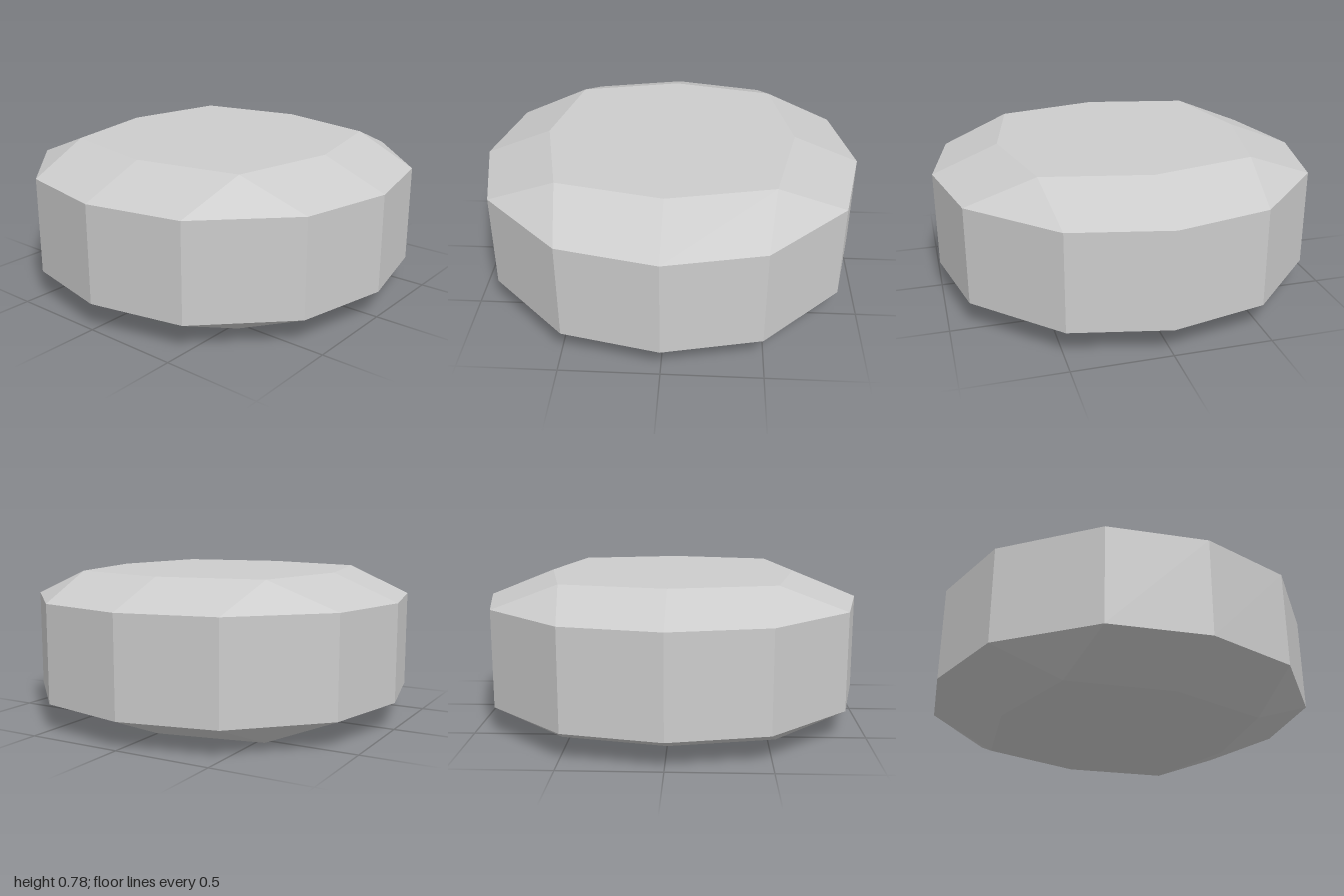
import * as THREE from 'three';

// Repeat a quarter outline of [x, z] points around the y axis
function ring(quarter, y) {
  const points = [];
  for (let k = 0; k < 4; k++) {
    for (const [x, z] of quarter) {
      points.push(new THREE.Vector3(x, y, z).applyAxisAngle(new THREE.Vector3(0, 1, 0), k * Math.PI / 2));
    }
  }
  return points;
}

// Join rings from bottom to top and close both ends, with faceted sides
function loft(rings) {
  const positions = [];
  const tri = (a, b, c) => {
    const area = b.clone().sub(a).cross(c.clone().sub(a)).length();
    if (area > 1e-6) for (const p of [a, b, c]) positions.push(p.x, p.y, p.z);
  };
  const n = rings[0].length;
  const bottom = rings[0], top = rings[rings.length - 1];
  const bottomCentre = new THREE.Vector3(0, bottom[0].y, 0);
  const topCentre = new THREE.Vector3(0, top[0].y, 0);
  for (let i = 0; i < n; i++) {
    const j = (i + 1) % n;
    for (let r = 0; r < rings.length - 1; r++) {
      const low = rings[r], high = rings[r + 1];
      tri(low[i], low[j], high[j]);
      tri(low[i], high[j], high[i]);
    }
    tri(bottomCentre, bottom[j], bottom[i]);
    tri(topCentre, top[i], top[j]);
  }
  const geometry = new THREE.BufferGeometry();
  geometry.setAttribute('position', new THREE.Float32BufferAttribute(positions, 3));
  geometry.computeVertexNormals();
  return geometry;
}

export function createModel() {
  const group = new THREE.Group();
  group.name = 'facetedStone';

  const grey = new THREE.MeshStandardMaterial({ color: 0xcccccc, flatShading: true });
  grey.name = 'stone grey';

  // Twelve-sided girdle; the flat faces have eight corners, so each diagonal corner is doubled
  const girdle = [[0, 1], [0.493, 0.892], [0.892, 0.493]];
  const face = [[0, 0.657], [0.54, 0.54], [0.54, 0.54]];

  const stone = new THREE.Mesh(
    loft([ring(face, 0), ring(girdle, 0.138), ring(girdle, 0.645), ring(face, 0.783)]),
    grey
  );
  stone.name = 'stoneBody';
  group.add(stone);
  return group;
}
